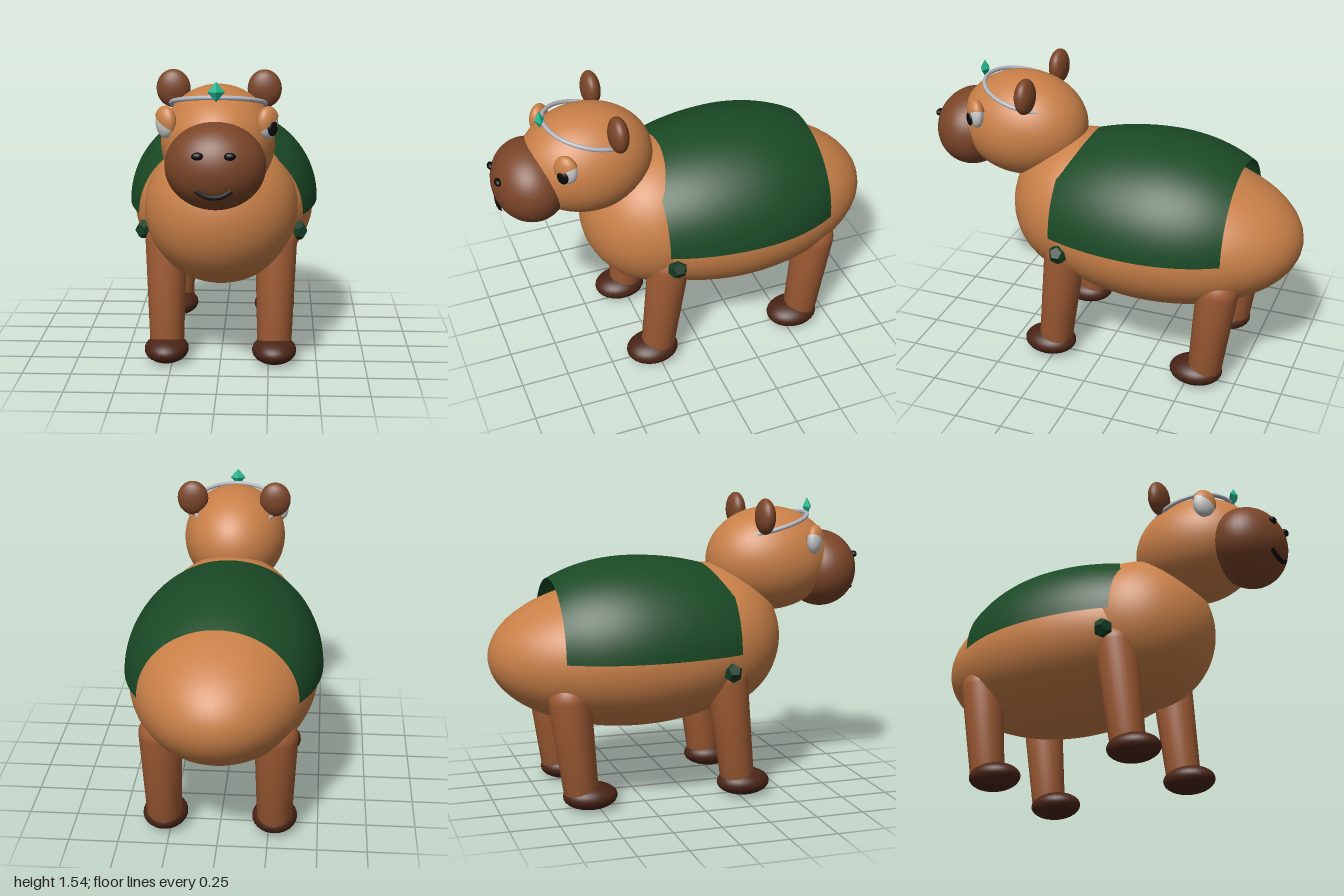
import * as THREE from 'three';

const mat = (color, extra = {}) => {
  const m = new THREE.MeshStandardMaterial({ color });
  return Object.assign(m, extra);
};

const fur = mat(0xc98048);
const legFur = mat(0xa05c34);
const darkFur = mat(0x7a4528);
const hoofMat = mat(0x4a2416);
const black = mat(0x0a0a0a);
const white = mat(0xf0f0f0);
const silver = mat(0xb4b6c0);
const green = mat(0x1a4a26, { side: THREE.DoubleSide });
const knotMat = mat(0x143a22, { flatShading: true });
const gemMat = mat(0x1fb890, { flatShading: true });
const lidMat = mat(0xc98048, { side: THREE.DoubleSide });

function add(parent, name, geometry, material, x = 0, y = 0, z = 0) {
  const mesh = new THREE.Mesh(geometry, material);
  mesh.name = name;
  mesh.position.set(x, y, z);
  parent.add(mesh);
  return mesh;
}

const ellipsoid = (rx, ry, rz, seg = 40) =>
  new THREE.SphereGeometry(1, seg, Math.round(seg * 0.7)).scale(rx, ry, rz);

// Open half shell draped over the back, swept from arches along z
function capeGeometry() {
  const across = 40, along = 24, pos = [], idx = [];
  for (let j = 0; j <= along; j++) {
    const z = -0.68 + (0.9 * j) / along;
    const d = z + 0.25;
    const k = Math.sqrt(1 - (d / (d < 0 ? 0.69 : 0.85)) ** 2);
    for (let i = 0; i <= across; i++) {
      const a = (Math.PI * i) / across;
      pos.push(0.505 * k * Math.cos(a), 0.785 + 0.47 * k * Math.sin(a), z);
    }
  }
  const row = across + 1;
  for (let j = 0; j < along; j++) {
    for (let i = 0; i < across; i++) {
      const a = j * row + i, b = a + 1, c = a + row, d = c + 1;
      idx.push(a, b, c, b, d, c);
    }
  }
  const g = new THREE.BufferGeometry();
  g.setAttribute('position', new THREE.Float32BufferAttribute(pos, 3));
  g.setIndex(idx);
  g.computeVertexNormals();
  return g;
}

// Tapered, round-topped leg leaning from ankle to shoulder, with its hoof
function addLeg(parent, name, x, ankleZ, topY, topZ, hoofZ) {
  const leg = new THREE.Group();
  leg.name = name;
  const r = 0.108;
  const ankle = new THREE.Vector3(x, 0.08, ankleZ);
  const top = new THREE.Vector3(x + Math.sign(x) * 0.005, topY - r, topZ);
  const len = ankle.distanceTo(top);
  const profile = [new THREE.Vector2(0.001, 0), new THREE.Vector2(0.088, 0)];
  for (let i = 0; i <= 10; i++) {
    const a = (i / 10) * Math.PI / 2;
    profile.push(new THREE.Vector2(Math.max(r * Math.cos(a), 0), len + r * Math.sin(a)));
  }
  const limb = add(leg, 'limb', new THREE.LatheGeometry(profile, 28), legFur, ankle.x, ankle.y, ankle.z);
  limb.quaternion.setFromUnitVectors(new THREE.Vector3(0, 1, 0), top.sub(ankle).normalize());
  add(leg, 'hoof', ellipsoid(0.115, 0.069, 0.14, 28), hoofMat, x, 0.077, hoofZ);
  parent.add(leg);
}

// Eye built facing +z, then turned outwards; side -1 is the mirror image
function addEye(parent, side) {
  const eye = new THREE.Group();
  eye.name = side > 0 ? 'leftEye' : 'rightEye';
  add(eye, 'eyeball', ellipsoid(0.058, 0.074, 0.036, 28), white);
  const lid = new THREE.SphereGeometry(1, 28, 12, 0, Math.PI * 2, 0, Math.PI / 2);
  lid.rotateX(-0.1).rotateZ(0.45).scale(0.064, 0.08, 0.042);
  add(eye, 'eyelid', lid, lidMat);
  if (side > 0) add(eye, 'pupil', ellipsoid(0.03, 0.037, 0.014, 20), black, -0.002, -0.02, 0.034);
  eye.rotation.y = Math.PI / 4;
  const mirror = new THREE.Group();
  mirror.name = eye.name + 'Socket';
  eye.position.set(0.24, 1.33, 0.68);
  mirror.scale.x = side;
  mirror.add(eye);
  parent.add(mirror);
}

export function createModel() {
  const model = new THREE.Group();
  model.name = 'capedAnimal';

  // Trunk
  add(model, 'body', ellipsoid(0.482, 0.385, 0.75, 56), fur, 0, 0.755, -0.25);
  add(model, 'chest', ellipsoid(0.395, 0.395, 0.395, 48), fur, 0, 0.81, 0.16);

  // Head
  const head = new THREE.Group();
  head.name = 'headGroup';
  model.add(head);
  add(head, 'head', ellipsoid(0.275, 0.276, 0.34, 48), fur, 0, 1.214, 0.515);
  add(head, 'snout', ellipsoid(0.235, 0.205, 0.19), darkFur, 0, 1.15, 0.81);
  const smile = new THREE.QuadraticBezierCurve3(
    new THREE.Vector3(-0.08, 1.065, 0.967),
    new THREE.Vector3(0, 1.005, 0.985),
    new THREE.Vector3(0.08, 1.065, 0.967));
  add(head, 'mouth', new THREE.TubeGeometry(smile, 20, 0.012, 8), black);

  for (const s of [-1, 1]) {
    add(head, 'ear', ellipsoid(0.083, 0.093, 0.049, 28), darkFur, s * 0.222, 1.457, 0.41);
    add(head, 'nostril', ellipsoid(0.027, 0.018, 0.018, 16), black, s * 0.073, 1.225, 0.98);
    addEye(head, s);
  }

  // Tilted headband sinking into the back of the head, with a gem in front
  const band = add(head, 'headband', new THREE.TorusGeometry(0.228, 0.011, 10, 64), silver, 0, 1.395, 0.495);
  band.rotation.x = Math.PI / 2 - 0.26;
  add(head, 'gem', new THREE.OctahedronGeometry(1).scale(0.041, 0.048, 0.025), gemMat, 0, 1.482, 0.735);

  // Cape and its knots
  add(model, 'cape', capeGeometry(), green);
  for (const s of [-1, 1]) {
    add(model, 'capeKnot', new THREE.DodecahedronGeometry(0.053), knotMat, s * 0.395, 0.69, 0.175);
  }

  // Legs
  for (const s of [-1, 1]) {
    addLeg(model, 'frontLeg', s * 0.28, 0.25, 0.74, 0.185, 0.28);
    addLeg(model, 'backLeg', s * 0.28, -0.59, 0.69, -0.645, -0.545);
  }
  return model;
}
